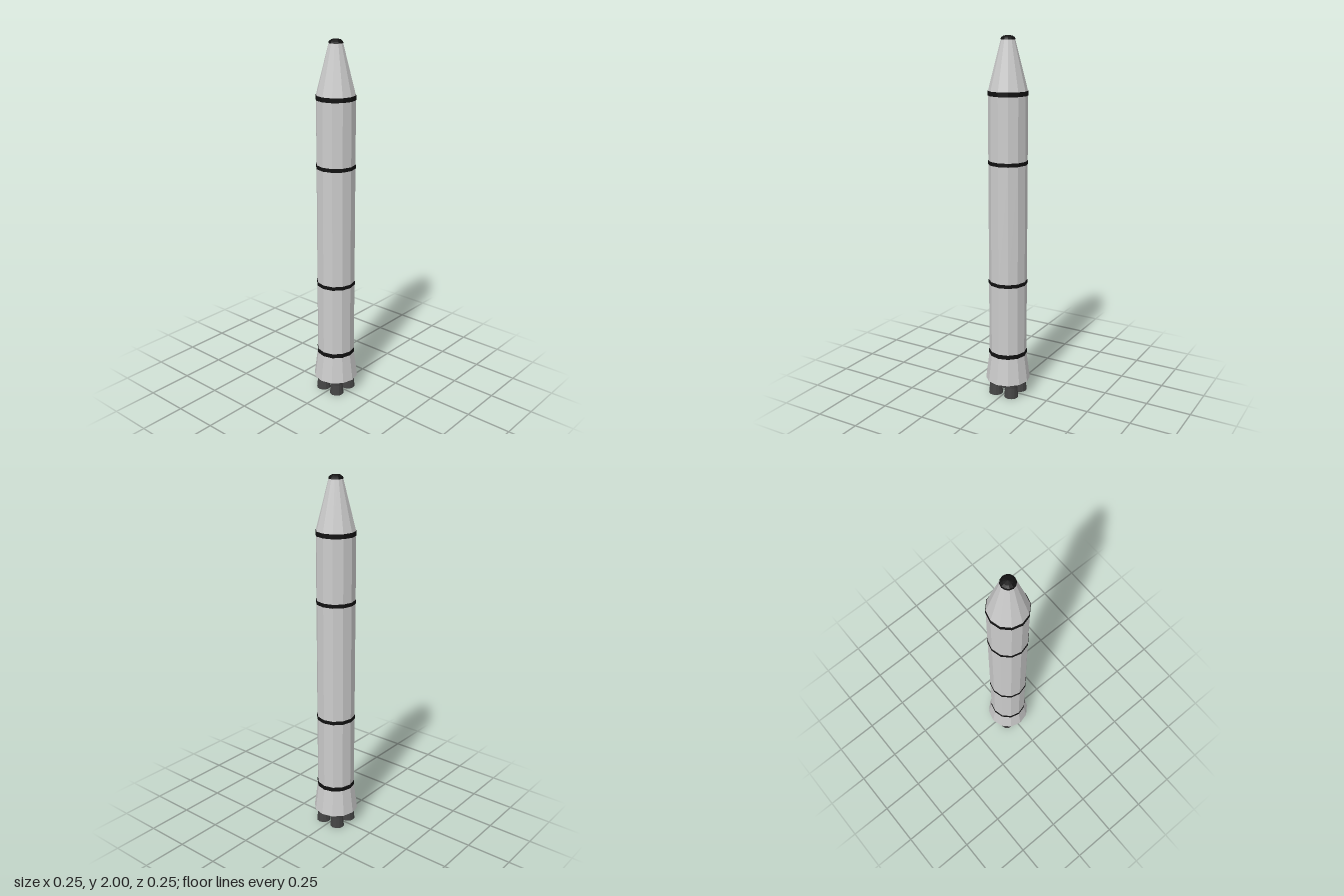
import * as THREE from 'three';

const SIDES = 12;
const paint = (color) => new THREE.MeshStandardMaterial({ color, flatShading: true });

export function createModel() {
  const rocket = new THREE.Group();
  rocket.name = 'rocket';
  const grey = paint(0xcccccc);
  const black = paint(0x111111);
  const dark = paint(0x444444);

  // Faceted, closed section between two heights
  function section(name, rBottom, rTop, y0, y1, material, parent = rocket) {
    const geometry = new THREE.CylinderGeometry(rTop, rBottom, y1 - y0, SIDES);
    const mesh = new THREE.Mesh(geometry, material);
    mesh.name = name;
    mesh.position.y = (y0 + y1) / 2;
    parent.add(mesh);
    return mesh;
  }

  // Hull
  section('engineSkirt', 0.125, 0.105, 0.088, 0.243, grey);
  section('lowerStage', 0.105, 0.105, 0.243, 0.67, grey);
  section('middleStage', 0.105, 0.105, 0.67, 1.34, grey);
  section('upperStage', 0.105, 0.105, 1.34, 1.705, grey);
  section('noseCone', 0.105, 0.037, 1.715, 1.98, grey);

  // Separation bands
  [[0.253, 0.024], [0.67, 0.02], [1.34, 0.02], [1.705, 0.024]].forEach(([y, h], i) => {
    section(`band${i + 1}`, 0.107, 0.107, y - h / 2, y + h / 2, black);
  });

  // Low domed tip
  const tipProfile = [[0, 1.978], [0.039, 1.978], [0.036, 1.987], [0.024, 1.996], [0, 2]]
    .map(([r, y]) => new THREE.Vector2(r, y));
  const tip = new THREE.Mesh(new THREE.LatheGeometry(tipProfile, SIDES), black);
  tip.name = 'noseTip';
  rocket.add(tip);

  // Four engine bells under the skirt
  for (const x of [-0.05, 0.05]) {
    for (const z of [-0.05, 0.05]) {
      const engine = new THREE.Group();
      engine.name = 'engine';
      engine.position.set(x, 0, z);
      section('engineBell', 0.04, 0.034, 0, 0.06, dark, engine);
      section('engineThroat', 0.034, 0.036, 0.06, 0.095, dark, engine);
      rocket.add(engine);
    }
  }
  return rocket;
}
